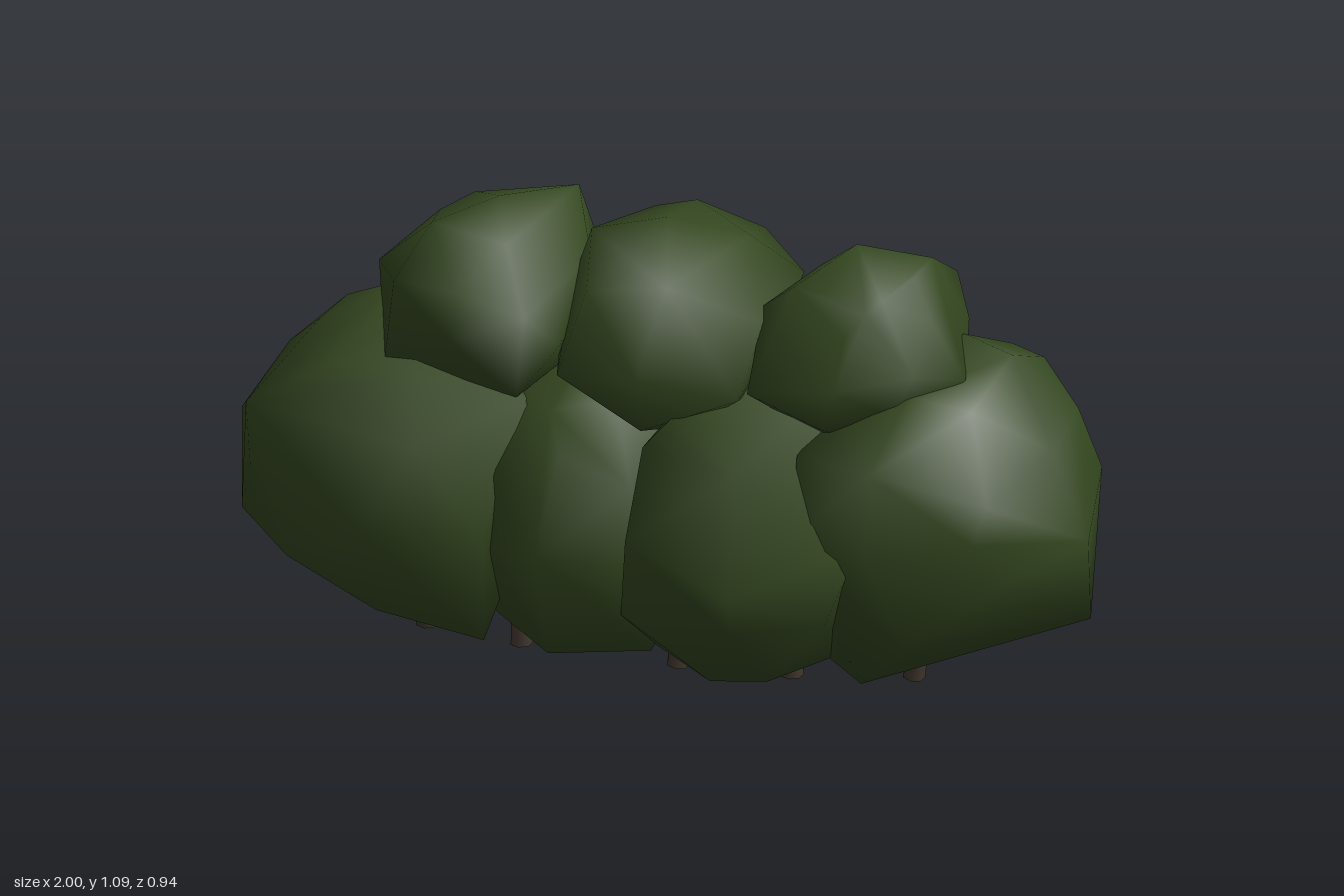
import * as THREE from 'three';
import { mergeVertices } from 'three/addons/utils/BufferGeometryUtils.js';
import { ConvexGeometry } from 'three/addons/geometries/ConvexGeometry.js';

const leaf = new THREE.MeshStandardMaterial({ color: 0x344720 });
leaf.name = 'leafGreen';
const bark = new THREE.MeshStandardMaterial({ color: 0x41362e });
bark.name = 'barkBrown';

// Lumpy smooth clump: the hull around a low-poly ellipsoid and a few outer corners
function clump(name, center, radii, corners) {
  const ball = new THREE.IcosahedronGeometry(1, 1);
  ball.scale(...radii).translate(...center);
  const core = mergeVertices(ball.deleteAttribute('normal').deleteAttribute('uv'), 1e-3).attributes.position;
  const points = corners.map((c) => new THREE.Vector3(...c));
  for (let i = 0; i < core.count; i++) points.push(new THREE.Vector3().fromBufferAttribute(core, i));
  const hull = new ConvexGeometry(points);
  hull.deleteAttribute('normal');
  const smooth = mergeVertices(hull, 1e-4);
  smooth.computeVertexNormals();
  const mesh = new THREE.Mesh(smooth, leaf);
  mesh.name = name;
  return mesh;
}

// Tapered stem between two points
function stem(name, foot, head) {
  const a = new THREE.Vector3(...foot), b = new THREE.Vector3(...head);
  const dir = b.clone().sub(a);
  const mesh = new THREE.Mesh(new THREE.CylinderGeometry(0.02, 0.026, dir.length(), 7), bark);
  mesh.position.copy(a).add(b).multiplyScalar(0.5);
  mesh.quaternion.setFromUnitVectors(new THREE.Vector3(0, 1, 0), dir.normalize());
  mesh.name = name;
  return mesh;
}

export function createModel() {
  const group = new THREE.Group();
  group.name = 'hedge';

  // Lower row of foliage, from the model's right to its left
  group.add(clump('lowerClumpRight', [-0.6, 0.47, 0.03], [0.35, 0.34, 0.36], [
    [-1, 0.45, -0.11], [-0.58, 0.455, 0.47], [-0.9, 0.64, 0.25], [-0.96, 0.28, 0.05],
    [-0.79, 0.3, 0.31], [-0.6, 0.86, 0], [-0.75, 0.77, -0.08], [-0.78, 0.15, 0],
    [-0.36, 0.1, 0.22], [-0.58, 0.2, 0.33], [-0.71, 0.45, -0.36], [-0.56, 0.6, -0.36],
    [-0.27, 0.69, 0.2], [-0.62, 0.16, -0.2], [-0.48, 0.64, 0.39], [-0.34, 0.4, 0.31],
    [-0.4, 0.1, 0.05], [-0.5, 0.76, 0.27], [-0.8, 0.62, -0.28],
  ]));
  group.add(clump('lowerClumpInnerRight', [-0.17, 0.44, -0.03], [0.32, 0.32, 0.37], [
    [-0.2, 0.45, -0.445], [-0.2, 0.4, 0.385], [-0.43, 0.5, -0.37], [-0.2, 0.09, 0],
    [-0.2, 0.11, 0.27], [0.02, 0.11, 0.2], [-0.5, 0.45, -0.26], [-0.03, 0.5, -0.41],
    [-0.38, 0.13, 0.1], [-0.2, 0.7, 0.25],
  ]));
  group.add(clump('lowerClumpInnerLeft', [0.24, 0.42, 0.02], [0.28, 0.33, 0.36], [
    [0.25, 0.36, 0.415], [0.52, 0.46, 0.31], [0, 0.45, 0.36], [0.17, 0.08, 0.26],
    [0.3, 0.09, 0.25], [0.12, 0.45, -0.395], [0.37, 0.5, -0.35], [0.38, 0.76, 0.15],
    [0.25, 0.27, 0.4], [-0.035, 0.22, 0.26], [0.12, 0.75, 0.18], [0.45, 0.28, 0.33],
    [0.25, 0.64, 0.36], [0.02, 0.65, 0.28], [0.02, 0.12, 0.18], [0.42, 0.12, 0.16],
  ]));
  group.add(clump('lowerClumpLeft', [0.63, 0.46, -0.07], [0.34, 0.35, 0.37], [
    [1, 0.45, 0.1], [0.98, 0.21, 0], [0.96, 0.5, -0.18], [0.79, 0.82, -0.04],
    [0.68, 0.86, -0.04], [0.56, 0.455, -0.47], [0.81, 0.58, -0.4], [0.6, 0.25, -0.455],
    [0.6, 0.64, -0.42], [0.77, 0.48, 0.25], [0.37, 0.48, 0.33], [0.5, 0.08, 0.19],
    [0.73, 0.15, -0.24], [0.37, 0.66, 0.26], [0.55, 0.45, 0.33], [0.55, 0.66, 0.32],
    [0.62, 0.22, 0.28], [0.81, 0.72, -0.25], [0.6, 0.79, 0.16], [0.42, 0.5, -0.44],
    [0.38, 0.13, 0.13],
  ]));

  // Upper row of foliage
  group.add(clump('upperClumpRight', [-0.4, 0.85, 0], [0.22, 0.23, 0.25], [
    [-0.5, 1.08, 0.14], [-0.38, 1.095, 0], [-0.23, 1.08, -0.13], [-0.68, 0.86, -0.09],
    [-0.57, 0.96, 0.21], [-0.42, 0.86, 0.285], [-0.38, 0.85, -0.275], [-0.59, 0.77, 0.21],
    [-0.17, 0.97, 0], [-0.19, 0.84, 0.2], [-0.29, 0.7, 0.2], [-0.26, 0.92, 0.25],
    [-0.52, 0.87, -0.22], [-0.42, 0.97, 0.26], [-0.22, 0.9, -0.25],
  ]));
  group.add(clump('upperClumpMiddle', [0, 0.81, -0.07], [0.25, 0.24, 0.3], [
    [0, 1.073, -0.03], [-0.16, 1.055, 0.03], [0.18, 1.03, -0.07], [0, 0.77, -0.42],
    [-0.2, 0.82, -0.31], [0.15, 0.93, -0.32], [0, 0.8, 0.26], [0.27, 0.89, -0.2],
    [0.23, 0.77, 0.24], [-0.19, 0.78, 0.23], [0.25, 0.9, 0.1], [0, 0.66, 0.22],
    [0.05, 1, 0.18], [-0.13, 0.98, 0.2], [0.02, 1.03, -0.22],
  ]));
  group.add(clump('upperClumpLeft', [0.46, 0.81, -0.02], [0.21, 0.22, 0.24], [
    [0.44, 1.067, -0.01], [0.59, 1.01, -0.1], [0.71, 0.8, 0.07], [0.61, 0.91, -0.25],
    [0.43, 0.88, -0.3], [0.32, 0.99, 0.08], [0.45, 0.82, 0.25], [0.62, 0.85, 0.19],
    [0.25, 0.79, 0.24], [0.67, 0.86, -0.12], [0.24, 0.92, 0.05], [0.42, 0.71, 0.22],
    [0.5, 0.97, 0.15],
  ]));

  // Short stems under the foliage
  const stems = [
    [[-0.555, 0.005, -0.03], [-0.55, 0.28, 0.01]],
    [[-0.325, 0.005, 0.02], [-0.325, 0.28, 0.02]],
    [[0.04, 0.005, 0.04], [0.07, 0.28, 0.04]],
    [[0.3, 0.005, 0.03], [0.295, 0.28, 0.03]],
    [[0.565, 0.005, -0.03], [0.6, 0.28, -0.01]],
  ];
  stems.forEach(([foot, head], i) => group.add(stem('stem' + (i + 1), foot, head)));
  return group;
}
